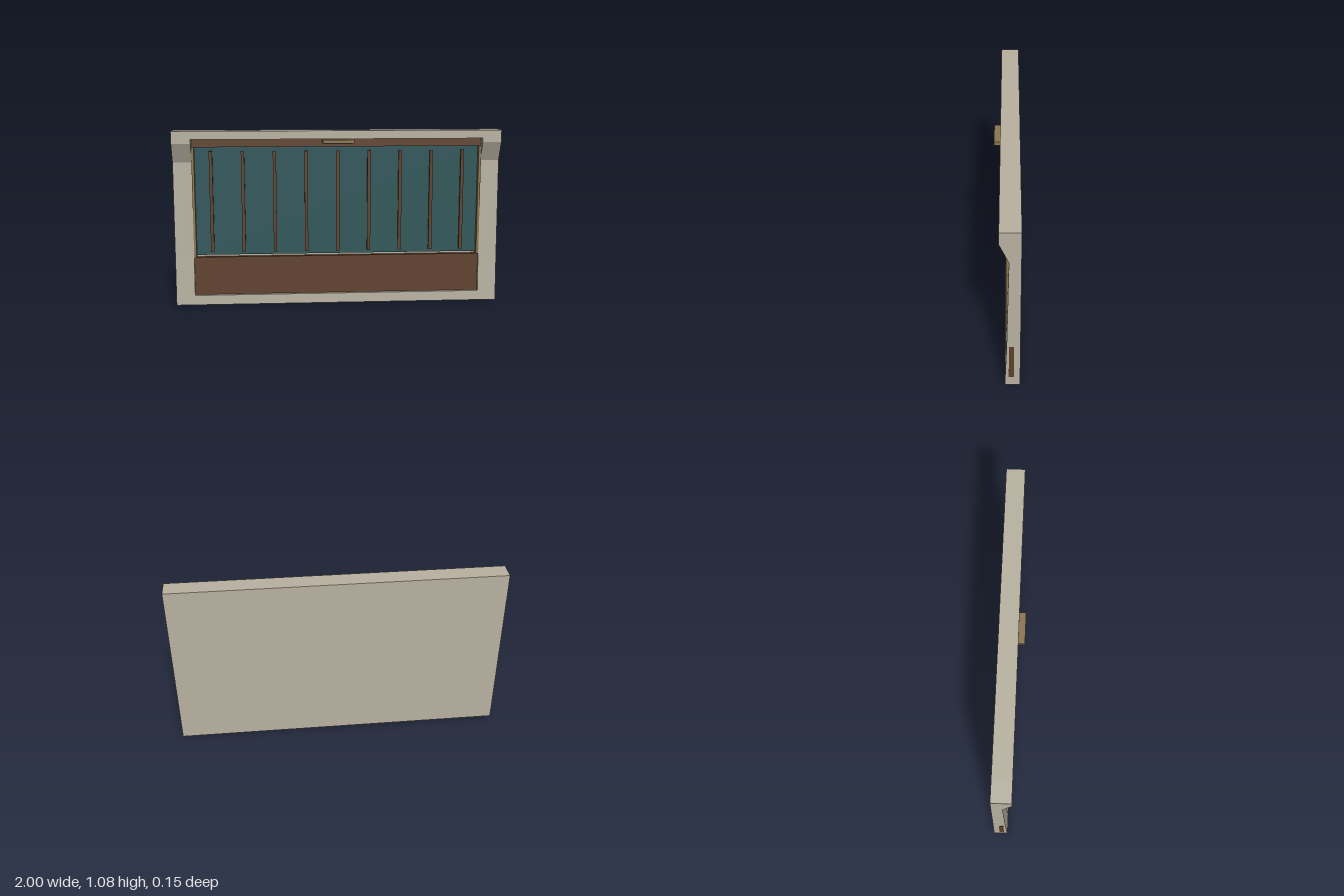
import * as THREE from 'three';

const mat = (name, color) => {
  const m = new THREE.MeshStandardMaterial({ color });
  m.name = name;
  return m;
};

export function createModel() {
  const group = new THREE.Group();
  const stone = mat('stone', 0xb9b2a2);
  const wood = mat('darkWood', 0x5f402b);
  const teal = mat('tealPanel', 0x2c5558);
  const brass = mat('tanTrim', 0x8b7650);

  const add = (name, geometry, material) => {
    const mesh = new THREE.Mesh(geometry, material);
    mesh.name = name;
    group.add(mesh);
  };
  // Box given by its lower and upper limits on each axis
  const box = (name, material, x0, x1, y0, y1, z0, z1) => {
    const g = new THREE.BoxGeometry(x1 - x0, y1 - y0, z1 - z0);
    g.translate((x0 + x1) / 2, (y0 + y1) / 2, (z0 + z1) / 2);
    add(name, g, material);
  };
  // Side profile of [z, y] points swept along x
  const sweep = (name, material, points, x0, x1) => {
    const shape = new THREE.Shape(points.map(([z, y]) => new THREE.Vector2(-z, y)));
    const g = new THREE.ExtrudeGeometry(shape, { depth: x1 - x0, bevelEnabled: false });
    g.rotateY(Math.PI / 2).translate(x0, 0, 0);
    add(name, g, material);
  };

  const W = 0.885, BACK = -0.075, FRONT = 0.038, RECESS = -0.012;

  // Surround: flared posts, sill, header and back slab
  const post = [[BACK, 0], [0.01, 0], [0, 0.28], [RECESS, 0.885], [FRONT, 1.0], [FRONT, 1.075], [BACK, 1.075]];
  sweep('leftPost', stone, post, W, 1);
  sweep('rightPost', stone, post, -1, -W);
  sweep('sill', stone, [[BACK, 0], [0.01, 0], [0.008, 0.06], [BACK, 0.06]], -W, W);
  box('header', stone, -W, W, 1.025, 1.075, BACK, FRONT);
  box('backSlab', stone, -W, W, 0.06, 1.025, BACK, -0.04);

  // Lower board, running through the posts to the outer sides
  box('lowerBoard', wood, -1.001, 1.001, 0.06, 0.297, -0.04, RECESS);

  // Upper panel with rail, slats and side trims
  box('panel', teal, -0.875, 0.875, 0.309, 0.98, -0.041, -0.028);
  box('topRail', wood, -W, W, 0.975, 1.025, -0.04, RECESS);
  for (let i = -4; i <= 4; i++) {
    const x = i * 0.193;
    box('slat', wood, x - 0.01, x + 0.01, 0.328, 0.95, -0.029, RECESS);
  }
  for (const s of [-1, 1]) {
    const a = s * 0.87, b = s * W;
    box('sideTrim', brass, Math.min(a, b), Math.max(a, b), 0.297, 0.975, -0.04, 0.003);
  }

  // Handle with a thin lip beneath
  box('handle', brass, -0.095, 0.095, 1.0, 1.022, RECESS, 0.075);
  box('handleLip', brass, -0.085, 0.085, 0.996, 1.0, RECESS, 0.064);

  return group;
}
